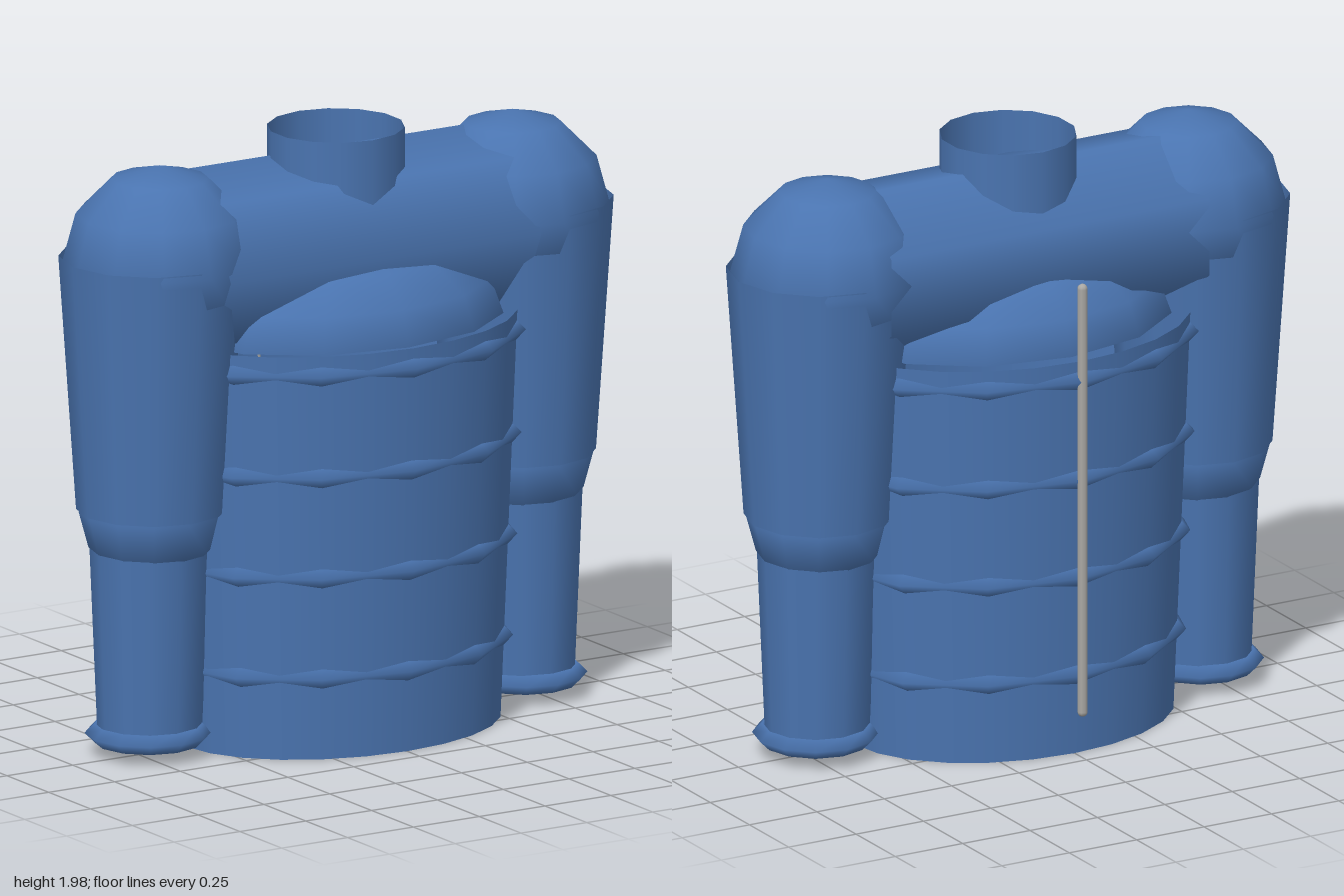
import * as THREE from 'three';

export function createModel() {
  const group = new THREE.Group();
  const fabric = new THREE.MeshStandardMaterial({ color: 0x4a74b0, side: THREE.DoubleSide });
  fabric.name = 'blueFabric';
  const metal = new THREE.MeshStandardMaterial({ color: 0xaaa8a4 });
  metal.name = 'greyMetal';

  const add = (parent, name, geometry, x, y, z = 0, material = fabric) => {
    const mesh = new THREE.Mesh(geometry, material);
    mesh.name = name;
    mesh.position.set(x, y, z);
    parent.add(mesh);
    return mesh;
  };
  // open tube standing between two heights
  const tube = (parent, name, rTop, rBottom, yTop, yBottom, sides, x = 0) =>
    add(parent, name, new THREE.CylinderGeometry(rTop, rBottom, yTop - yBottom, sides, 1, true),
      x, (yTop + yBottom) / 2);
  // flat-lying ring with a diamond section
  const ring = (radius, thickness) =>
    new THREE.TorusGeometry(radius, thickness, 4, 12).rotateX(Math.PI / 2);

  // Torso: oval tube, slightly wider at the top
  const DEPTH = 0.75, TORSO_TOP = 1.345, R_TOP = 0.624, R_BOTTOM = 0.566;
  const torsoRadius = (y) => R_BOTTOM + (R_TOP - R_BOTTOM) * y / TORSO_TOP;
  tube(group, 'torso', R_TOP, R_BOTTOM, TORSO_TOP, 0, 24).scale.z = DEPTH;

  // Ribs around the torso
  for (const y of [0.27, 0.605, 0.94, 1.28]) {
    add(group, 'torsoRing', ring(torsoRadius(y) - 0.003, 0.035), 0, y).scale.z = DEPTH;
  }

  // Chest dome under the shoulders
  const dome = new THREE.SphereGeometry(1, 12, 4, 0, Math.PI * 2, 0, Math.PI / 2);
  add(group, 'chestDome', dome, 0, 1.34, 0.015).scale.set(0.57, 0.3, 0.42);

  // Shoulder yoke and collar
  add(group, 'shoulderYoke',
    new THREE.CylinderGeometry(0.3, 0.3, 1.18, 7, 1, true).rotateZ(Math.PI / 2), 0, 1.603);
  tube(group, 'collar', 0.222, 0.222, 1.98, 1.72, 14);

  // Arms
  for (const [side, s] of [['left', 1], ['right', -1]]) {
    const arm = new THREE.Group();
    arm.name = side + 'Arm';
    add(arm, 'shoulder', new THREE.SphereGeometry(0.312, 12, 6), s * 0.67, 1.63);
    tube(arm, 'upperArm', 0.3, 0.243, 1.65, 0.81, 12, s * 0.7);
    add(arm, 'elbow', new THREE.SphereGeometry(0.232, 12, 6), s * 0.703, 0.8);
    tube(arm, 'forearm', 0.198, 0.168, 0.8, 0.07, 12, s * 0.708);
    add(arm, 'cuff', ring(0.172, 0.032), s * 0.714, 0.07);
    group.add(arm);
  }

  // Fastening rod down the back
  add(group, 'backRod', new THREE.CapsuleGeometry(0.017, 1.436, 4, 8), 0, 0.875, -0.475, metal);

  return group;
}
